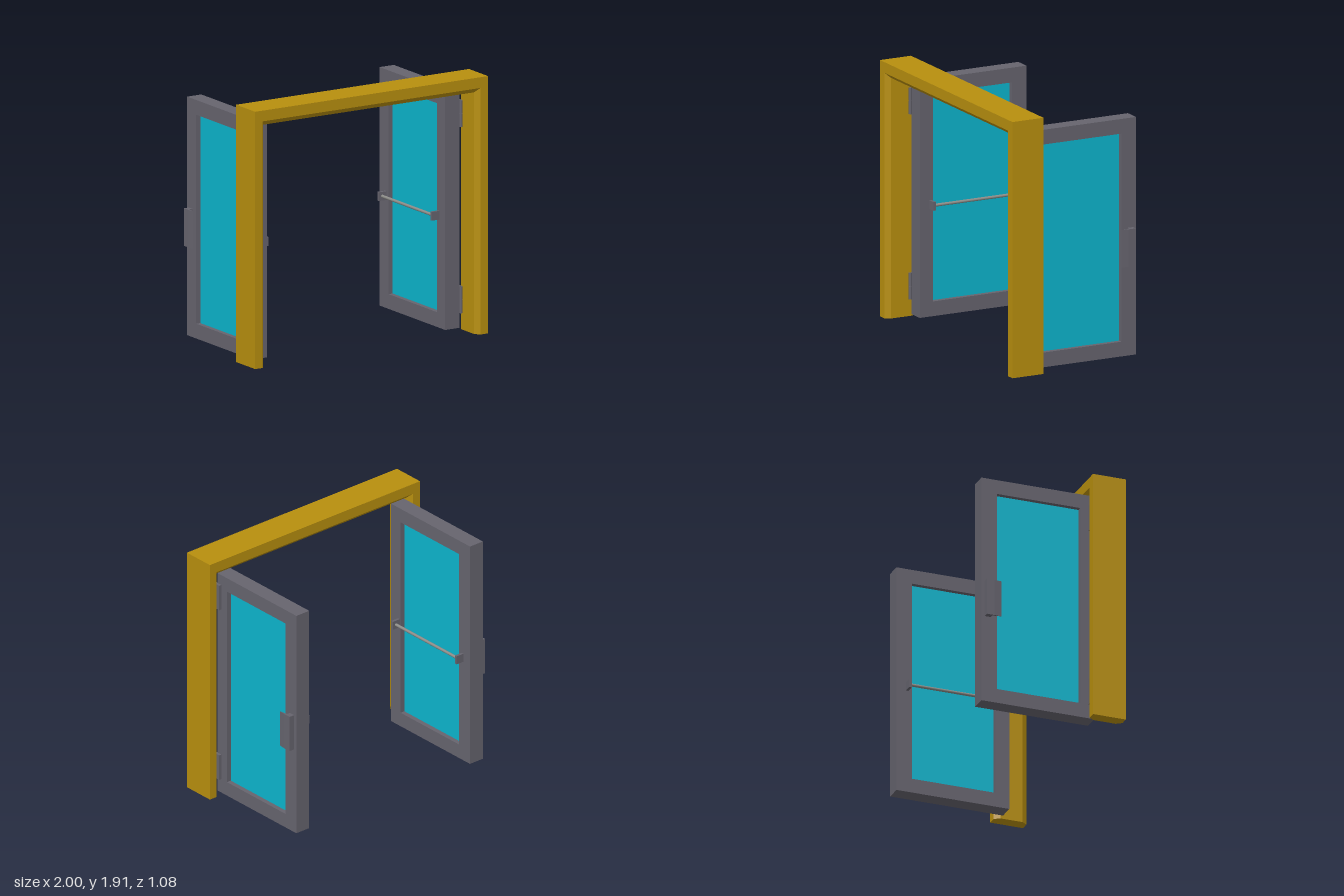
import * as THREE from 'three';

const mat = (color) => new THREE.MeshStandardMaterial({ color });
const ochre = mat(0xb88f0e), steel = mat(0x66646e), glassMat = mat(0x0cb5cd), barMat = mat(0x8c8c88);

function add(parent, name, geometry, material, x = 0, y = 0, z = 0) {
  const mesh = new THREE.Mesh(geometry, material);
  mesh.name = name;
  mesh.position.set(x, y, z);
  parent.add(mesh);
  return mesh;
}

// Portal: a chamfered section swept up one jamb, across the head and down the other
function portalGeometry() {
  const section = [[0, 0.54], [0.065, 0.54], [0.095, 0.5], [0.095, 0.325], [0.065, 0.285], [0, 0.285]];
  const stations = [[-1, 0], [-1, 1], [1, 1], [1, 0]];
  const point = (k, i) => {
    const [side, top] = stations[k], [d, z] = section[i % section.length];
    return [side * (1 - d), top * (1.915 - d * 1.23), z];
  };
  const pos = [];
  const tri = (a, b, c) => pos.push(...a, ...b, ...c);
  for (let k = 0; k < 3; k++) {
    for (let i = 0; i < section.length; i++) {
      tri(point(k, i), point(k, i + 1), point(k + 1, i + 1));
      tri(point(k, i), point(k + 1, i + 1), point(k + 1, i));
    }
  }
  // feet
  for (let i = 1; i < section.length - 1; i++) {
    tri(point(0, 0), point(0, i + 1), point(0, i));
    tri(point(3, 0), point(3, i), point(3, i + 1));
  }
  const g = new THREE.BufferGeometry();
  g.setAttribute('position', new THREE.Float32BufferAttribute(pos, 3));
  g.computeVertexNormals();
  return g;
}

function rectangle(target, x0, y0, x1, y1) {
  target.moveTo(x0, y0);
  target.lineTo(x1, y0);
  target.lineTo(x1, y1);
  target.lineTo(x0, y1);
  target.closePath();
  return target;
}

// One open door; s is the side (+1 left, -1 right), outer the distance of its outside face
function createDoor(s, outer) {
  const door = new THREE.Group();
  door.name = s > 0 ? 'leftDoor' : 'rightDoor';
  const thick = 0.122, mid = s * (outer - thick / 2), inner = outer - thick;

  // leaf frame with window opening
  const shape = rectangle(new THREE.Shape(), -0.54, 0.015, 0.338, 1.79);
  shape.holes.push(rectangle(new THREE.Path(), -0.42, 0.125, 0.23, 1.68));
  const leaf = new THREE.ExtrudeGeometry(shape, { depth: thick, bevelEnabled: false });
  leaf.translate(0, 0, -thick / 2).rotateY(-Math.PI / 2);
  add(door, 'doorFrame', leaf, steel, mid);

  // glass pane
  add(door, 'glassPane', new THREE.BoxGeometry(0.05, 1.565, 0.66), glassMat, mid, 0.9025, -0.095);

  // push bar on the inside face
  for (const z of [-0.457, 0.25]) {
    add(door, 'pushBarBracket', new THREE.BoxGeometry(0.065, 0.065, 0.02), steel, s * (inner - 0.0325), 0.853, z);
  }
  const bar = new THREE.CylinderGeometry(0.011, 0.011, 0.7, 16).rotateX(Math.PI / 2);
  add(door, 'pushBar', bar, barMat, s * (inner - 0.036), 0.853, -0.1035);

  // hooked pull handle on the outside face
  const profile = [[-0.002, 0.515], [0.043, 0.515], [0.043, 0.455], [0.038, 0.4], [0.028, 0.468], [-0.002, 0.468]];
  const hook = new THREE.Shape(profile.map(([x, y]) => new THREE.Vector2(s * (outer + x), y)));
  const handle = new THREE.ExtrudeGeometry(hook, { depth: 0.28, bevelEnabled: false }).rotateX(-Math.PI / 2);
  add(door, 'pullHandle', handle, steel, 0, 0.69, 0);

  // hinges between leaf and jamb
  for (const y of [0.225, 1.61]) {
    add(door, 'hingeLeaf', new THREE.BoxGeometry(0.02, 0.2, 0.05), steel, s * (outer + 0.01), y, 0.318);
    for (const dy of [-0.05, 0.05]) {
      add(door, 'hingeKnuckle', new THREE.CylinderGeometry(0.012, 0.012, 0.098, 16), steel, s * (outer + 0.008), y + dy, 0.345);
    }
  }
  return door;
}

export function createModel() {
  const model = new THREE.Group();
  model.name = 'doubleDoor';
  add(model, 'portalFrame', portalGeometry(), ochre);
  model.add(createDoor(1, 0.884), createDoor(-1, 0.891));
  return model;
}
